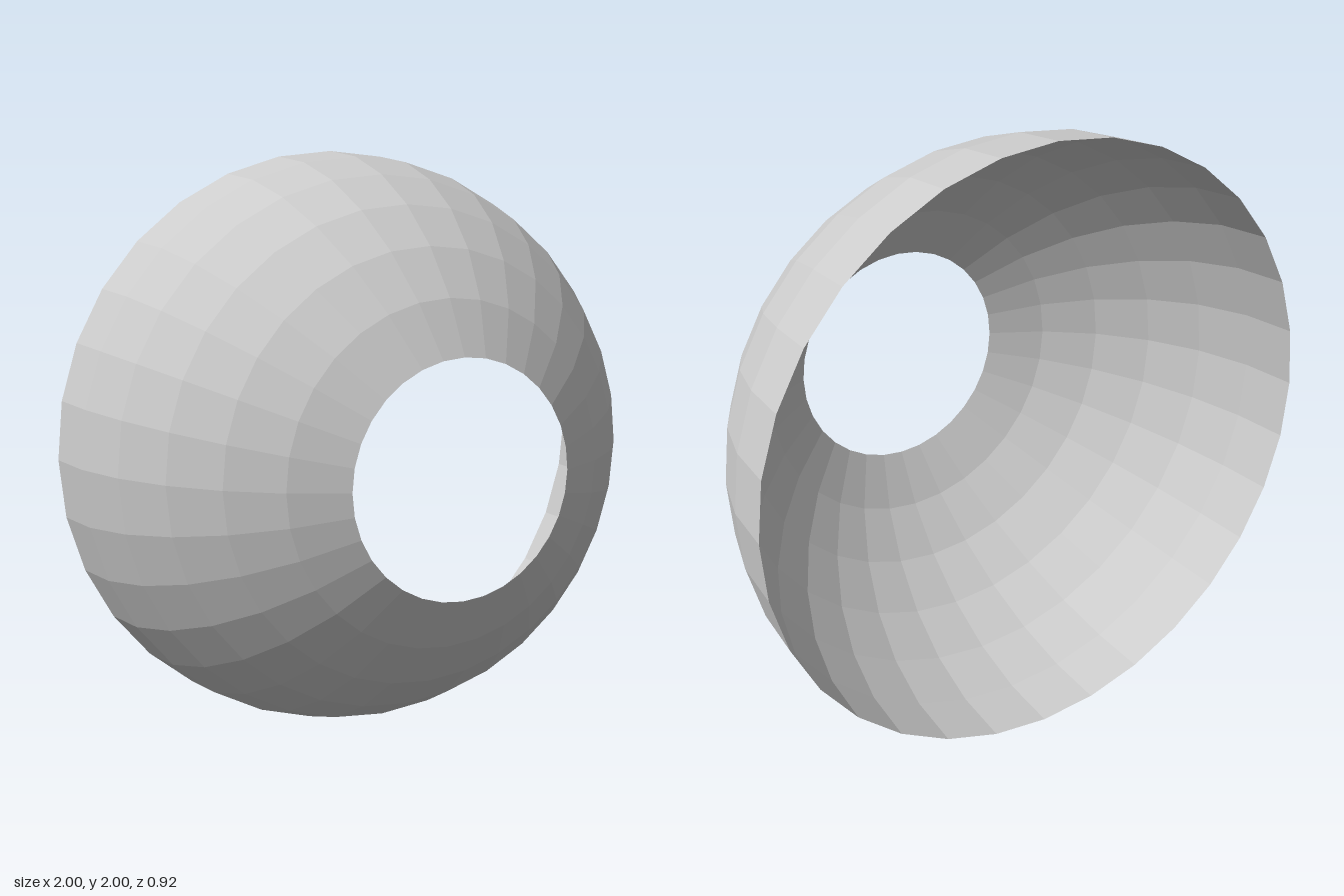
import * as THREE from 'three';

export function createModel() {
  const group = new THREE.Group();
  const step = Math.PI / 16; // angle of one facet, both ways round

  // Open faceted half-sphere: six rings from the front hole to the wide back rim
  const geometry = new THREE.SphereGeometry(1, 32, 6, 0, Math.PI * 2, 2 * step, 6 * step);
  geometry.rotateX(Math.PI / 2); // pole towards the front

  const material = new THREE.MeshStandardMaterial({
    color: 0xcccccc,
    flatShading: true,
    side: THREE.DoubleSide,
  });
  const shade = new THREE.Mesh(geometry, material);
  shade.name = 'domeShell';
  shade.position.set(0, 1, -Math.cos(2 * step) / 2); // centre the depth on z = 0
  group.add(shade);
  return group;
}
